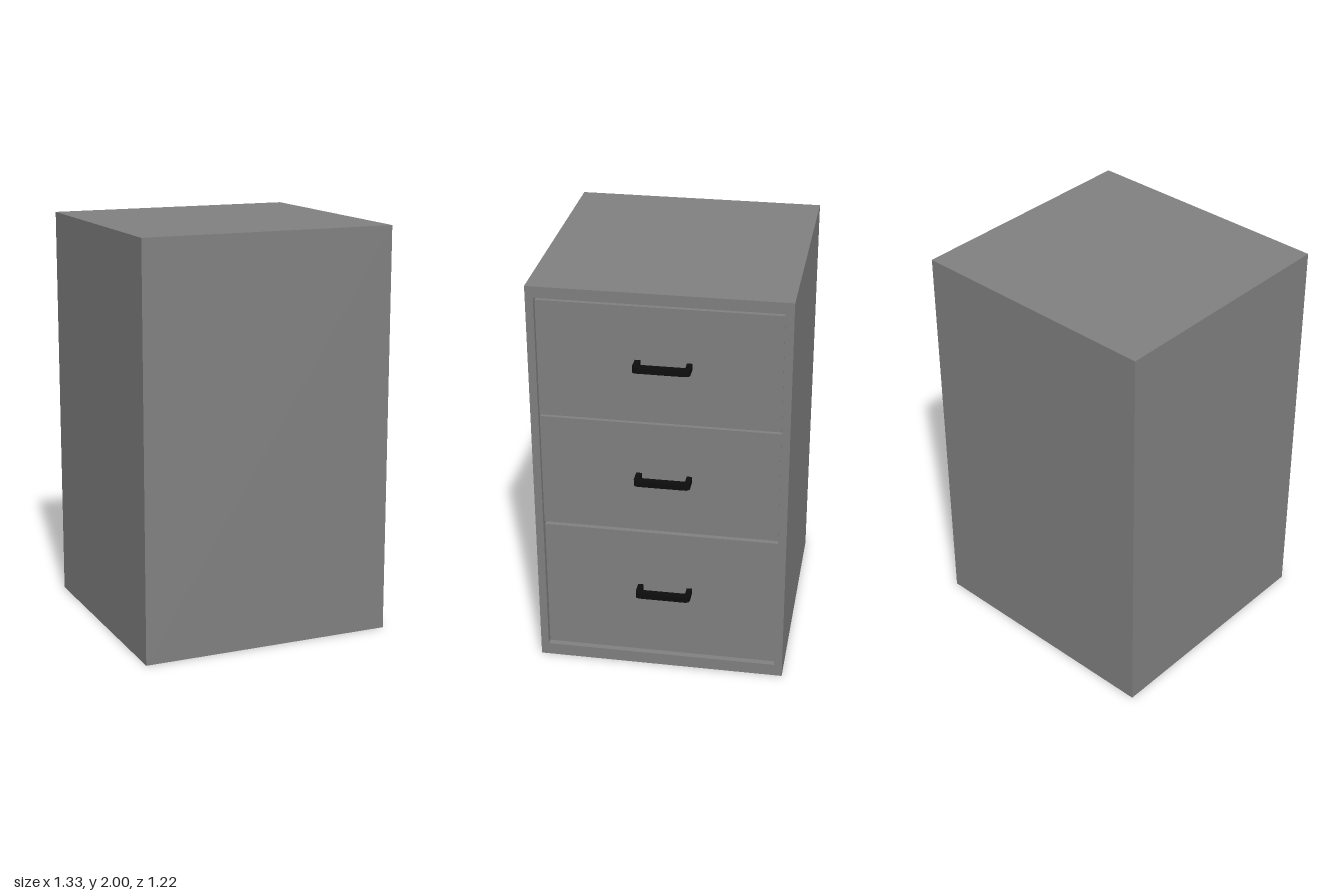
import * as THREE from 'three';

const bodyMaterial = new THREE.MeshStandardMaterial({ color: 0x808080 });
const handleMaterial = new THREE.MeshStandardMaterial({ color: 0x0d0d0d });

const BACK = -0.665, FRONT = 0.595;      // cabinet extent in x; drawers face +x
const OPEN_Z0 = -0.565, OPEN_Z1 = 0.572; // opening in z

function addMesh(parent, name, geometry, material) {
  const mesh = new THREE.Mesh(geometry, material);
  mesh.name = name;
  parent.add(mesh);
  return mesh;
}

function boxBetween(x0, x1, y0, y1, z0, z1) {
  return new THREE.BoxGeometry(x1 - x0, y1 - y0, z1 - z0)
    .translate((x0 + x1) / 2, (y0 + y1) / 2, (z0 + z1) / 2);
}

function rectangle(path, x0, x1, y0, y1) {
  path.moveTo(x0, y0);
  path.lineTo(x1, y0);
  path.lineTo(x1, y1);
  path.lineTo(x0, y1);
  path.closePath();
  return path;
}

// Rectangular tube that forms the sides, top and bottom of the cabinet
function carcassGeometry() {
  const shape = rectangle(new THREE.Shape(), -0.61, 0.605, 0, 2);
  shape.holes.push(rectangle(new THREE.Path(), -OPEN_Z1, -OPEN_Z0, 0.062, 1.945));
  return new THREE.ExtrudeGeometry(shape, { depth: FRONT - BACK, bevelEnabled: false })
    .rotateY(Math.PI / 2)
    .translate(BACK, 0, 0);
}

// Square-section bracket handle with rounded outer corners
function handleGeometry() {
  const reach = 0.085, halfLength = 0.133, bar = 0.036, leg = 0.026, r = 0.024;
  const shape = new THREE.Shape();
  shape.moveTo(0, -halfLength);
  shape.lineTo(reach - r, -halfLength);
  shape.quadraticCurveTo(reach, -halfLength, reach, -halfLength + r);
  shape.lineTo(reach, halfLength - r);
  shape.quadraticCurveTo(reach, halfLength, reach - r, halfLength);
  shape.lineTo(0, halfLength);
  shape.lineTo(0, halfLength - leg);
  shape.lineTo(reach - bar, halfLength - leg);
  shape.lineTo(reach - bar, -halfLength + leg);
  shape.lineTo(0, -halfLength + leg);
  shape.closePath();
  return new THREE.ExtrudeGeometry(shape, { depth: 0.028, bevelEnabled: false, curveSegments: 5 })
    .rotateX(Math.PI / 2)
    .translate(0, 0.014, 0);
}

export function createModel() {
  const model = new THREE.Group();
  model.name = 'drawerCabinet';

  addMesh(model, 'carcass', carcassGeometry(), bodyMaterial);
  addMesh(model, 'backPanel',
    boxBetween(BACK, BACK + 0.04, 0.062, 1.945, OPEN_Z0, OPEN_Z1), bodyMaterial);

  // Drawers, bottom to top, each slightly recessed in the opening
  const drawers = [
    { name: 'bottomDrawer', y0: 0.066, y1: 0.748, handleY: 0.436, front: 0.57 },
    { name: 'middleDrawer', y0: 0.768, y1: 1.34, handleY: 1.065, front: 0.577 },
    { name: 'topDrawer', y0: 1.35, y1: 1.928, handleY: 1.651, front: 0.577 },
  ];
  for (const { name, y0, y1, handleY, front } of drawers) {
    const drawer = new THREE.Group();
    drawer.name = name;
    addMesh(drawer, 'drawerBody',
      boxBetween(BACK + 0.05, front, y0, y1, OPEN_Z0 + 0.002, OPEN_Z1 - 0.002), bodyMaterial);
    addMesh(drawer, 'handle', handleGeometry(), handleMaterial)
      .position.set(front, handleY, -0.018);
    model.add(drawer);
  }
  return model;
}
